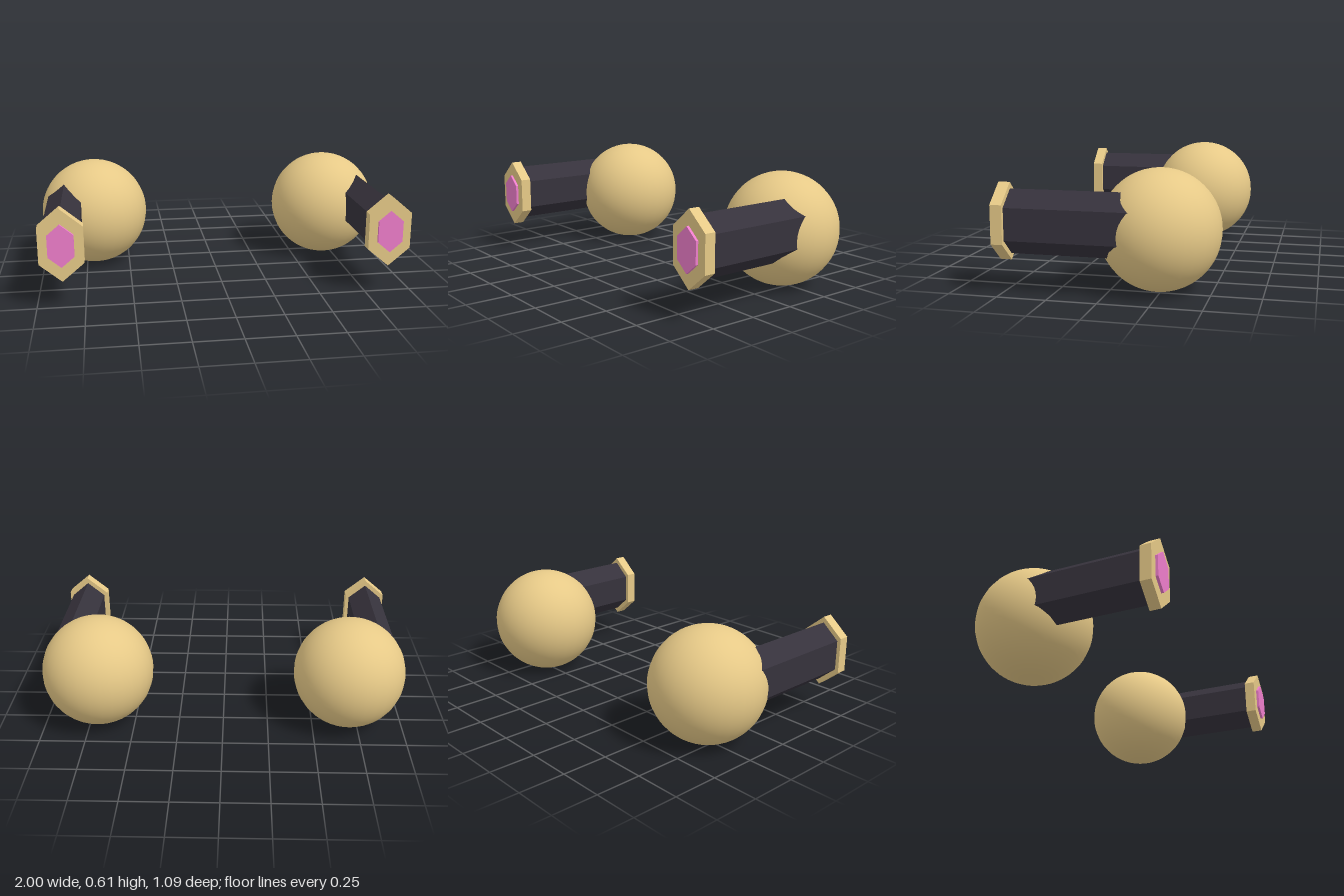
import * as THREE from 'three';

const gold = new THREE.MeshStandardMaterial({ color: 0xe6c987 });
const goldFlat = new THREE.MeshStandardMaterial({ color: 0xe6c987, flatShading: true });
const dark = new THREE.MeshStandardMaterial({ color: 0x36323c, flatShading: true });
const pink = new THREE.MeshStandardMaterial({ color: 0xee7ecb, flatShading: true });

const BARREL_Y = 0.347;

// Hexagonal prism along z, points up and down, narrowed in x
function hexPrism(name, halfWidth, halfHeight, zBack, zFront, material) {
  const geometry = new THREE.CylinderGeometry(1, 1, zFront - zBack, 6);
  geometry.rotateX(Math.PI / 2);
  geometry.scale(halfWidth / Math.cos(Math.PI / 6), halfHeight, 1);
  const mesh = new THREE.Mesh(geometry, material);
  mesh.name = name;
  mesh.position.set(0, BARREL_Y, (zBack + zFront) / 2);
  return mesh;
}

function createCannon(side) {
  const cannon = new THREE.Group();
  cannon.name = side > 0 ? 'leftCannon' : 'rightCannon';

  // Round housing
  const ball = new THREE.Mesh(new THREE.SphereGeometry(0.305, 32, 32), gold);
  ball.name = 'ballHousing';
  ball.position.set(side * 0.695, 0.305, -0.24);
  cannon.add(ball);

  // Barrel, collar and glowing muzzle, set towards the outside
  const gun = new THREE.Group();
  gun.name = 'gun';
  gun.position.x = side * 0.86;
  gun.add(
    hexPrism('barrel', 0.095, 0.161, -0.2, 0.48, dark),
    hexPrism('collar', 0.115, 0.193, 0.473, 0.532, goldFlat),
    hexPrism('muzzle', 0.067, 0.113, 0.5, 0.546, pink)
  );
  cannon.add(gun);
  return cannon;
}

export function createModel() {
  const model = new THREE.Group();
  model.name = 'cannonPair';
  for (const side of [-1, 1]) model.add(createCannon(side));
  return model;
}
